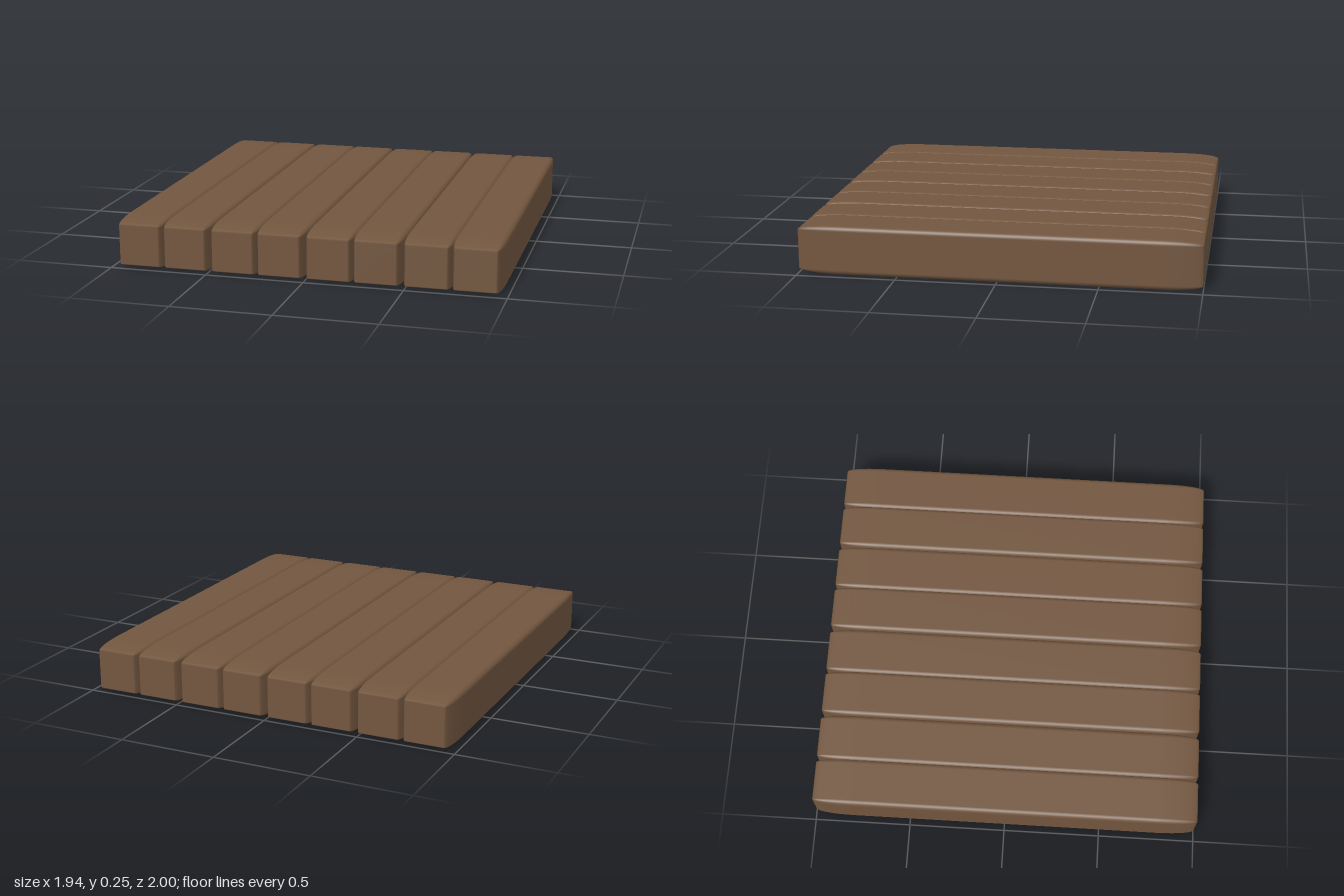
import * as THREE from 'three';
import { RoundedBoxGeometry } from 'three/addons/geometries/RoundedBoxGeometry.js';

const WIDTH = 0.2475, HEIGHT = 0.248, RADIUS = 0.025, STRETCH = 8;
const PAIR_WIDTH = 0.485; // two planks, overlapping slightly

export function createModel() {
  const model = new THREE.Group();
  model.name = 'plankPlatform';
  const wood = new THREE.MeshStandardMaterial({ color: 0x72563f });

  // A rounded block stretched along z, so its ends taper in a long soft curve
  const plankGeometry = new RoundedBoxGeometry(WIDTH, HEIGHT, 2 / STRETCH, 4, RADIUS);
  plankGeometry.scale(1, 1, STRETCH);

  // Four pairs of planks side by side
  for (let pair = 0; pair < 4; pair++) {
    const pairGroup = new THREE.Group();
    pairGroup.name = `plankPair${pair + 1}`;
    pairGroup.position.set((pair - 1.5) * PAIR_WIDTH, HEIGHT / 2, 0);
    for (const side of [-1, 1]) {
      const plank = new THREE.Mesh(plankGeometry, wood);
      plank.name = side < 0 ? 'rightPlank' : 'leftPlank';
      plank.position.x = side * (PAIR_WIDTH - WIDTH) / 2;
      pairGroup.add(plank);
    }
    model.add(pairGroup);
  }
  return model;
}
